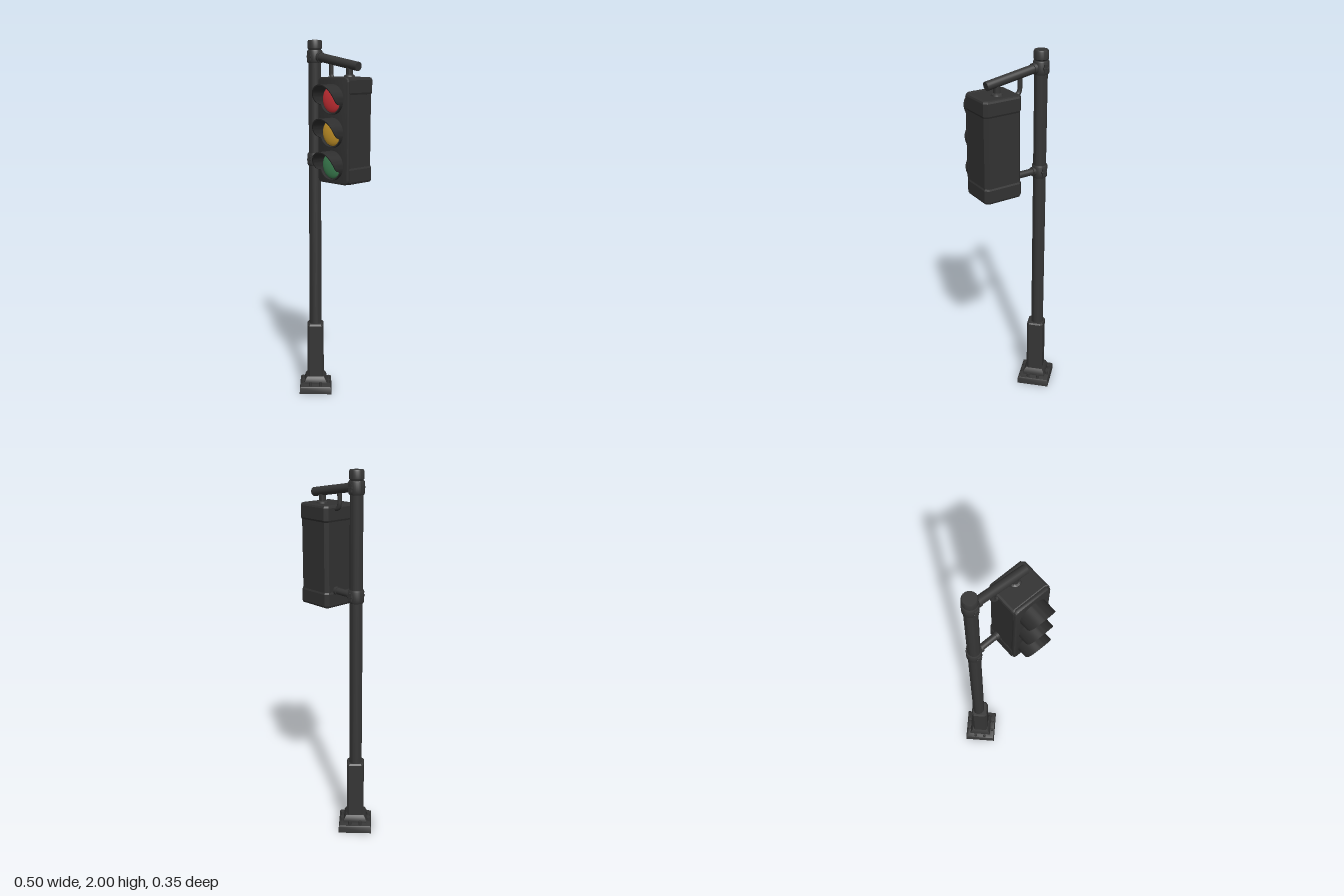
import * as THREE from 'three';
import { toCreasedNormals } from 'three/addons/utils/BufferGeometryUtils.js';

const mat = (name, color, side = THREE.FrontSide) => {
  const m = new THREE.MeshStandardMaterial({ color, side });
  m.name = name;
  return m;
};

export function createModel() {
  const metal = mat('dark metal', 0x363636);
  const housingMat = mat('housing black', 0x323232);
  const visorMat = mat('visor black', 0x2e2e2e, THREE.DoubleSide);
  const lensMats = [mat('red lens', 0xd8343a), mat('amber lens', 0xd6a02c), mat('green lens', 0x418a58)];

  const model = new THREE.Group();
  model.name = 'trafficLight';
  const add = (name, geometry, material, x = 0, y = 0, z = 0, parent = model) => {
    const mesh = new THREE.Mesh(geometry, material);
    mesh.name = name;
    mesh.position.set(x, y, z);
    parent.add(mesh);
    return mesh;
  };
  const V2 = (p) => new THREE.Vector2(...p);
  const lathe = (pts, seg) => toCreasedNormals(new THREE.LatheGeometry(pts.map(V2), seg), 0.6);
  // Cylinder between two points
  const rod = (name, a, b, r, material = metal) => {
    const d = new THREE.Vector3().subVectors(b, a);
    const mesh = add(name, new THREE.CylinderGeometry(r, r, d.length(), 24), material);
    mesh.position.copy(a).addScaledVector(d, 0.5);
    mesh.quaternion.setFromUnitVectors(new THREE.Vector3(0, 1, 0), d.normalize());
    return mesh;
  };
  const P = (x, y, z) => new THREE.Vector3(x, y, z);

  // Foot: stepped square plinth turned by 45 degrees
  const foot = new THREE.Group();
  foot.name = 'foot';
  foot.position.set(-0.122, 0, -0.043);
  model.add(foot);
  add('plinth', lathe([[0, 0], [0.13, 0], [0.128, 0.035], [0.122, 0.042], [0.09, 0.05],
    [0.09, 0.062], [0.078, 0.08], [0.068, 0.09], [0, 0.09]], 4), metal, 0, 0, 0, foot);

  // Foot bolts, two on each side
  for (let i = 0; i < 4; i++) {
    const side = new THREE.Group();
    side.name = 'footBolts';
    side.rotation.y = Math.PI / 4 + i * Math.PI / 2;
    foot.add(side);
    for (const s of [-1, 1]) {
      add('footBolt', new THREE.CylinderGeometry(0.008, 0.01, 0.024, 8), metal, s * 0.029, 0.053, 0.074, side);
    }
  }

  // Sleeve: square column with cut corners
  const h = 0.047, c = 0.034;
  const sleeveShape = new THREE.Shape([[h, -c], [h, c], [c, h], [-c, h], [-h, c], [-h, -c], [-c, -h], [c, -h]].map(V2));
  const sleeveGeo = new THREE.ExtrudeGeometry(sleeveShape,
    { depth: 0.31, bevelThickness: 0.008, bevelSize: 0.006, bevelOffset: -0.006, bevelSegments: 1 });
  sleeveGeo.rotateX(-Math.PI / 2).rotateY(Math.PI / 4);
  add('sleeve', sleeveGeo, metal, 0, 0.09, 0, foot);

  // Pole with capped top
  const px = -0.127, pz = -0.047;
  add('pole', lathe([[0.034, 0.38], [0.034, 1.95], [0.038, 1.955], [0.038, 1.992], [0.034, 2], [0, 2]], 32),
    metal, px, 0, pz);

  // Clamps with bolted lugs
  for (const y of [1.913, 1.36]) {
    const clamp = new THREE.Group();
    clamp.name = 'clamp';
    clamp.position.set(px, y, pz);
    model.add(clamp);
    add('clampRing', lathe([[0.033, -0.034], [0.038, -0.034], [0.041, -0.028], [0.041, 0.028],
      [0.038, 0.034], [0.033, 0.034]], 32), metal, 0, 0, 0, clamp);
    for (const s of [-1, 1]) {
      add('clampLug', new THREE.BoxGeometry(0.022, 0.04, 0.012), metal, 0, 0, s * 0.041, clamp);
      const bolt = add('clampBolt', new THREE.CylinderGeometry(0.007, 0.007, 0.03, 8), metal, 0, 0, s * 0.041, clamp);
      bolt.rotation.z = Math.PI / 2;
    }
  }

  // Sloping upper arm, lower arm and flanges
  rod('upperArm', P(-0.11, 1.914, pz), P(0.194, 1.864, pz), 0.0235);
  rod('upperArmFlange', P(-0.093, 1.911, pz), P(-0.078, 1.9085, pz), 0.028);
  rod('lowerArm', P(-0.11, 1.36, pz), P(0.035, 1.36, pz), 0.018);
  rod('lowerArmFlange', P(-0.092, 1.36, pz), P(-0.078, 1.36, pz), 0.024);
  rod('lowerArmNut', P(0.012, 1.36, pz), P(0.03, 1.36, pz), 0.022);

  // Hanger between arm and housing
  add('hanger', lathe([[0.032, 1.805], [0.028, 1.818], [0.018, 1.824], [0.018, 1.87]], 24), metal, 0.132, 0, pz);

  // Bent cable conduit
  const conduit = new THREE.CatmullRomCurve3([P(-0.001, 1.885, pz), P(-0.001, 1.84, pz),
    P(0.0, 1.815, pz), P(0.01, 1.797, pz), P(0.04, 1.79, pz)]);
  add('conduit', new THREE.TubeGeometry(conduit, 20, 0.012, 12), metal);

  // Housing: body with slightly larger end caps, cut rear corners
  const cx = 0.134;
  const housing = new THREE.Group();
  housing.name = 'housing';
  housing.position.x = cx;
  model.add(housing);
  const plan = (g) => new THREE.Shape([[-0.105 - g, -0.066], [0.105 + g, -0.066], [0.105 + g, 0.095 + g],
    [0.087 + g, 0.113 + g], [-0.087 - g, 0.113 + g], [-0.105 - g, 0.095 + g]].map(V2));
  const block = (name, g, y0, y1, b) => {
    const geo = new THREE.ExtrudeGeometry(plan(g),
      { depth: y1 - y0 - 2 * b, bevelThickness: b, bevelSize: b, bevelOffset: -b, bevelSegments: 2 });
    geo.rotateX(-Math.PI / 2);
    add(name, geo, housingMat, 0, y0 + b, 0, housing);
  };
  block('housingBody', 0, 1.28, 1.8, 0.012);
  block('topCap', 0.004, 1.722, 1.811, 0.013);
  block('bottomCap', 0.004, 1.269, 1.358, 0.013);
  add('bottomPlug', new THREE.CylinderGeometry(0.026, 0.022, 0.014, 24), housingMat, 0, 1.268, pz, housing);

  // Front door with rounded corners
  const w = 0.106, r = 0.024, y0 = 1.268, y1 = 1.812;
  const door = new THREE.Shape();
  door.absarc(w - r, y1 - r, r, 0, Math.PI / 2);
  door.absarc(-w + r, y1 - r, r, Math.PI / 2, Math.PI);
  door.absarc(-w + r, y0 + r, r, Math.PI, Math.PI * 1.5);
  door.absarc(w - r, y0 + r, r, Math.PI * 1.5, Math.PI * 2);
  const doorGeo = new THREE.ExtrudeGeometry(door, { depth: 0.012, curveSegments: 6,
    bevelThickness: 0.006, bevelSize: 0.006, bevelOffset: -0.006, bevelSegments: 2 });
  add('door', toCreasedNormals(doorGeo, 0.6), housingMat, 0, 0, 0.062, housing);

  // Visor: a tube whose front edge is swept back below the brow
  const ro = 0.077, ri = 0.071;
  const visorBase = new THREE.LatheGeometry([[ri, 0], [ri, 1], [ro, 1], [ro, 0]].map(V2), 64);
  visorBase.rotateX(Math.PI / 2);
  const pos = visorBase.attributes.position;
  for (let i = 0; i < pos.count; i++) {
    if (pos.getZ(i) < 0.5) continue;
    const t = Math.max(0, (pos.getY(i) + 0.025) / (ro + 0.025));
    pos.setZ(i, 0.018 + 0.077 * Math.pow(t, 0.4));
  }
  const visorGeo = toCreasedNormals(visorBase, 0.6);

  // Domed lens
  const lensGeo = new THREE.SphereGeometry(0.067, 40, 10, 0, Math.PI * 2, 0, Math.PI / 2);
  lensGeo.rotateX(Math.PI / 2).scale(1, 1, 0.22);

  ['redLens', 'amberLens', 'greenLens'].forEach((name, i) => {
    const y = 1.701 - i * 0.169;
    add('visor', visorGeo, visorMat, 0, y, 0.079, housing);
    add(name, lensGeo, lensMats[i], 0, y, 0.081, housing);
  });

  return model;
}
